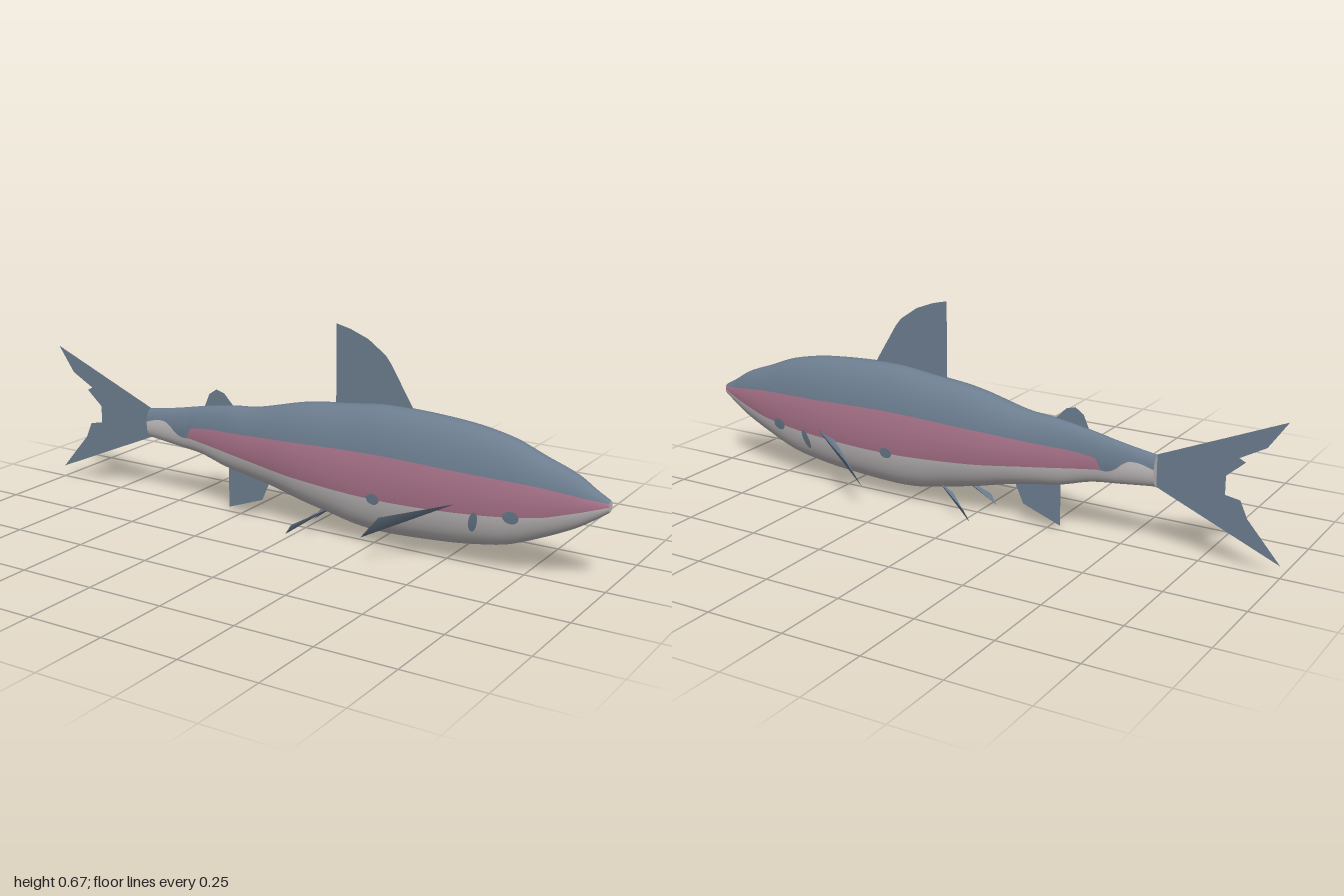
import * as THREE from 'three';

const mat = (name, color, side = THREE.FrontSide) => {
  const m = new THREE.MeshStandardMaterial({ color, side });
  m.name = name;
  return m;
};

// Smooth curve y(x) through points listed from tail to snout
function profile(points) {
  return (x) => {
    let i = 0;
    while (i < points.length - 2 && x > points[i + 1][0]) i++;
    const slope = (k) => {
      const a = points[Math.max(k - 1, 0)], b = points[Math.min(k + 1, points.length - 1)];
      return (b[1] - a[1]) / (b[0] - a[0]);
    };
    const [x0, y0] = points[i], [x1, y1] = points[i + 1];
    const h = x1 - x0, t = THREE.MathUtils.clamp((x - x0) / h, 0, 1), u = 1 - t;
    return y0 * (1 + 2 * t) * u * u + slope(i) * h * t * u * u
      + y1 * t * t * (3 - 2 * t) - slope(i + 1) * h * t * t * u;
  };
}

const back = profile([[-0.61, 0.302], [-0.5, 0.32], [-0.38, 0.344], [-0.28, 0.36], [-0.18, 0.37], [0, 0.412],
  [0.15, 0.43], [0.3, 0.445], [0.55, 0.434], [0.7, 0.408], [0.8, 0.37], [0.9, 0.332], [0.96, 0.295], [1, 0.273]]);
const belly = profile([[-0.61, 0.205], [-0.5, 0.192], [-0.4, 0.18], [-0.3, 0.152], [-0.2, 0.135], [-0.1, 0.115],
  [0, 0.09], [0.1, 0.07], [0.2, 0.05], [0.3, 0.044], [0.5, 0.055], [0.6, 0.067], [0.7, 0.086], [0.8, 0.125],
  [0.9, 0.172], [0.95, 0.203], [1, 0.238]]);
const halfWidth = profile([[-0.61, 0.024], [-0.4, 0.034], [-0.2, 0.056], [0, 0.08], [0.3, 0.09], [0.55, 0.085],
  [0.75, 0.066], [0.9, 0.041], [0.97, 0.023], [1, 0.014]]);
const stripeTop = profile([[-0.61, 0.262], [-0.56, 0.275], [-0.52, 0.27], [-0.48, 0.238], [-0.435, 0.235],
  [-0.425, 0.268], [-0.2, 0.286], [0, 0.3], [0.3, 0.311], [0.6, 0.302], [0.8, 0.292], [1, 0.266]]);
const stripeBottom = profile([[-0.61, 0.262], [-0.56, 0.275], [-0.52, 0.27], [-0.48, 0.238], [-0.435, 0.233],
  [-0.2, 0.205], [0, 0.184], [0.3, 0.17], [0.6, 0.18], [0.8, 0.2], [0.9, 0.226], [1, 0.256]]);

// Side surface depth of the elliptical body at (x, y)
function depth(x, y) {
  const mid = (back(x) + belly(x)) / 2, r = (back(x) - belly(x)) / 2;
  return halfWidth(x) * Math.sqrt(Math.max(0, 1 - ((y - mid) / r) ** 2));
}

// Lofted body whose rings follow the colour boundaries
function bodyGeometry() {
  const rings = 96, counts = [8, 4, 8], half = 20, around = half * 2;
  const pos = [], faces = [[], [], []];
  for (let i = 0; i <= rings; i++) {
    const x = -0.61 + 1.61 * i / rings;
    const mid = (back(x) + belly(x)) / 2, r = (back(x) - belly(x)) / 2;
    const angle = (y) => Math.acos(THREE.MathUtils.clamp((y - mid) / r, -1, 1));
    const top = angle(stripeTop(x)), low = Math.max(top, angle(stripeBottom(x)));
    const stops = [0, top, low, Math.PI], angles = [0];
    counts.forEach((n, b) => {
      for (let k = 1; k <= n; k++) angles.push(stops[b] + (stops[b + 1] - stops[b]) * k / n);
    });
    for (let j = 0; j < around; j++) {
      const a = j <= half ? angles[j] : -angles[around - j];
      pos.push(x, mid + r * Math.cos(a), halfWidth(x) * Math.sin(a));
    }
  }
  for (let i = 0; i < rings; i++) {
    for (let j = 0; j < around; j++) {
      const k = j < half ? j : around - 1 - j;
      const band = k < 8 ? 0 : k < 12 ? 1 : 2;
      const a = i * around + j, b = i * around + (j + 1) % around;
      faces[band].push(a, b, a + around, b, b + around, a + around);
    }
  }
  const g = new THREE.BufferGeometry();
  g.setAttribute('position', new THREE.Float32BufferAttribute(pos, 3));
  g.setIndex(faces.flat());
  let start = 0;
  faces.forEach((f, b) => { g.addGroup(start, f.length, b); start += f.length; });
  g.computeVertexNormals();
  return g;
}

export function createModel() {
  const group = new THREE.Group();
  const blue = mat('slate blue', 0x6c7d8f);
  const finBlue = mat('fin slate', 0x6c7d8f, THREE.DoubleSide);
  const pink = mat('rose stripe', 0xab748b);
  const silver = mat('silver belly', 0xc2bdbe, THREE.DoubleSide);
  const add = (name, geometry, material) => {
    const mesh = new THREE.Mesh(geometry, material);
    mesh.name = name;
    group.add(mesh);
    return mesh;
  };

  add('body', bodyGeometry(), [blue, pink, silver]);

  // Closed ends at the mouth and the tail root
  for (const [name, x, turn] of [['mouth', 1, 1], ['tailRoot', -0.61, -1]]) {
    const cap = add(name, new THREE.CircleGeometry(1, 32), silver);
    cap.rotation.y = turn * Math.PI / 2;
    cap.scale.set(halfWidth(x), (back(x) - belly(x)) / 2, 1);
    cap.position.set(x, (back(x) + belly(x)) / 2, 0);
  }

  // Flat fins on the centre line
  const centreFins = {
    tailFin: [[-0.605, 0.302], [-1, 0.467], [-0.94, 0.382], [-0.86, 0.338], [-0.88, 0.328], [-0.823, 0.278],
      [-0.823, 0.22], [-0.87, 0.212], [-0.893, 0.16], [-1, 0.037], [-0.605, 0.205]],
    dorsalFin: [[0.11, 0.4], [0.11, 0.672], [0.16, 0.66], [0.22, 0.637], [0.28, 0.595], [0.3, 0.57], [0.385, 0.43]],
    adiposeFin: [[-0.39, 0.335], [-0.368, 0.385], [-0.34, 0.404], [-0.31, 0.396], [-0.265, 0.35]],
    analFin: [[-0.295, 0.17], [-0.295, 0.015], [-0.165, 0.062], [-0.13, 0.14]],
  };
  for (const [name, pts] of Object.entries(centreFins)) {
    const shape = new THREE.Shape(pts.map(([x, y]) => new THREE.Vector2(x, y)));
    add(name, new THREE.ShapeGeometry(shape), finBlue);
  }

  // Paired fins, mirrored across the body
  const pairedFins = {
    pectoralFin: [[0.56, 0.205, 0.082], [0.37, 0.16, 0.19], [0.31, 0.087, 0.19], [0.49, 0.178, 0.082]],
    pelvicFin: [[0.11, 0.095, 0.05], [0, 0.035, 0.085], [-0.022, 0, 0.085], [0.06, 0.072, 0.05]],
  };
  // Small marks laid on the flanks: x, y, half length, half height, tilt
  const spots = [[0.29, 0.172, 0.022, 0.018, 0], [0.615, 0.158, 0.013, 0.034, -0.25], [0.73, 0.19, 0.024, 0.02, 0]];
  for (const s of [1, -1]) {
    const side = s > 0 ? 'right' : 'left';
    for (const [name, pts] of Object.entries(pairedFins)) {
      const g = new THREE.BufferGeometry();
      g.setAttribute('position', new THREE.Float32BufferAttribute(pts.flatMap(([x, y, z]) => [x, y, s * z]), 3));
      g.setIndex([0, 1, 2, 0, 2, 3]);
      g.computeVertexNormals();
      add(`${side} ${name}`, g, finBlue);
    }
    for (const [cx, cy, rx, ry, tilt] of spots) {
      const g = new THREE.CircleGeometry(1, 16).scale(rx, ry, 1).rotateZ(tilt).translate(cx, cy, 0);
      const p = g.attributes.position;
      for (let i = 0; i < p.count; i++) p.setZ(i, s * (depth(p.getX(i), p.getY(i)) + 0.003));
      g.computeVertexNormals();
      add(`${side} flankSpot`, g, finBlue);
    }
  }
  return group;
}
